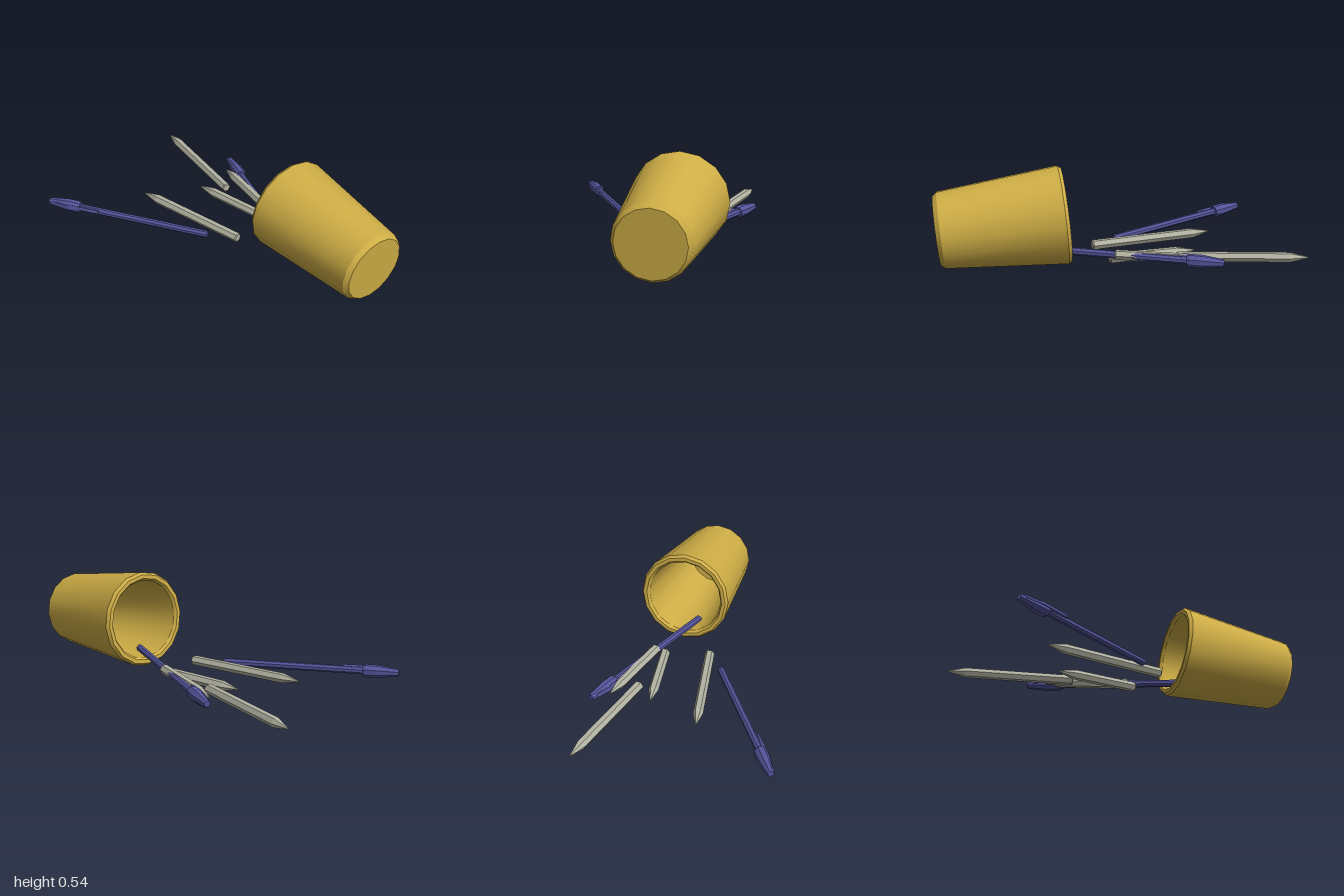
import * as THREE from 'three';
import { toCreasedNormals } from 'three/addons/utils/BufferGeometryUtils.js';

const yellow = new THREE.MeshStandardMaterial({ color: 0xcfae46 });
const blue = new THREE.MeshStandardMaterial({ color: 0x55559c, flatShading: true });
const stone = new THREE.MeshStandardMaterial({ color: 0xb4b4a4, flatShading: true });

// Closed turned shape from [radius, height] pairs
function turned(profile, sides, phase = 0) {
  const points = profile.map(([r, h]) => new THREE.Vector2(r, h));
  return new THREE.LatheGeometry(points, sides, phase);
}

// Lay an object so its local y runs from start towards end, local z staying upward
function lay(object, start, end) {
  const from = new THREE.Vector3(...start);
  const dir = new THREE.Vector3(...end).sub(from).normalize();
  const right = new THREE.Vector3().crossVectors(dir, new THREE.Vector3(0, 1, 0)).normalize();
  const up = new THREE.Vector3().crossVectors(right, dir);
  object.quaternion.setFromRotationMatrix(new THREE.Matrix4().makeBasis(right, dir, up));
  object.position.copy(from);
  return object;
}

function mesh(name, geometry, material) {
  const m = new THREE.Mesh(geometry, material);
  m.name = name;
  return m;
}

// Tapered cup with bevelled base, rim and hollow inside
function makeCup() {
  const profile = [
    [0, 0], [0.187, 0], [0.207, 0.025], [0.267, 0.672], [0.255, 0.69],
    [0.234, 0.69], [0.222, 0.675], [0.172, 0.045], [0, 0.045],
  ];
  return mesh('cup', toCreasedNormals(turned(profile, 16), Math.PI / 6), yellow);
}

// Six-sided pencil with a slightly bevelled end and a sharpened point
function makePencil(length) {
  const r = 0.028;
  const profile = [
    [0, 0], [r * 0.8, 0], [r, 0.006], [r, length - 0.1],
    [r * 0.75, length - 0.07], [0.004, length], [0, length],
  ];
  return mesh('pencil', turned(profile, 6, Math.PI / 6), stone);
}

// Pen with a tapered cap and a side clip
function makePen() {
  const pen = new THREE.Group();
  pen.name = 'pen';
  const L = 0.99;
  const barrel = turned([[0, 0], [0.017, 0], [0.021, 0.006], [0.021, 0.84], [0, 0.84]], 8, Math.PI / 8);
  const cap = turned([
    [0, L - 0.2], [0.03, L - 0.2], [0.036, L - 0.185], [0.036, L - 0.12],
    [0.022, L - 0.01], [0.016, L], [0, L],
  ], 8, Math.PI / 8);
  // Clip outline seen from above, extruded to a thin bar
  const outline = new THREE.Shape([
    [-0.024, L - 0.325], [-0.018, L - 0.19], [-0.018, L - 0.03],
    [-0.024, L - 0.03], [-0.037, L - 0.15], [-0.034, L - 0.32],
  ].map(([x, y]) => new THREE.Vector2(x, y)));
  const clip = new THREE.ExtrudeGeometry(outline, { depth: 0.018, bevelEnabled: false });
  clip.translate(0, 0, -0.009);
  clip.rotateY(0.35);
  pen.add(mesh('barrel', barrel, blue), mesh('cap', cap, blue), mesh('clip', clip, blue));
  return pen;
}

export function createModel() {
  const model = new THREE.Group();
  model.name = 'spilledPencilCup';

  // Cup lying on its side, mouth to the back
  model.add(lay(makeCup(), [0.287, 0.214, 0.98], [0.287, 0.308, -0.016]));

  // Blunt end and point of each pencil
  const pencils = [
    [[0.35, 0.035, -0.3], [0.463, 0.035, -1.0]],
    [[0.075, 0.032, 0.13], [-0.07, 0.042, -0.56]],
    [[0.327, 0.033, 0.065], [0.243, 0.033, -0.415]],
    [[0.37, 0.066, 0.04], [0.467, 0.048, -0.44]],
  ];
  for (const [end, tip] of pencils) {
    const length = new THREE.Vector3(...end).distanceTo(new THREE.Vector3(...tip));
    model.add(lay(makePencil(length), end, tip));
  }

  // Tail and cap end of each pen
  model.add(lay(makePen(), [-0.037, 0.031, -0.01], [-0.565, 0.05, -0.85]));
  model.add(lay(makePen(), [0.235, 0.073, 0.42], [0.552, 0.052, -0.52]));
  return model;
}
